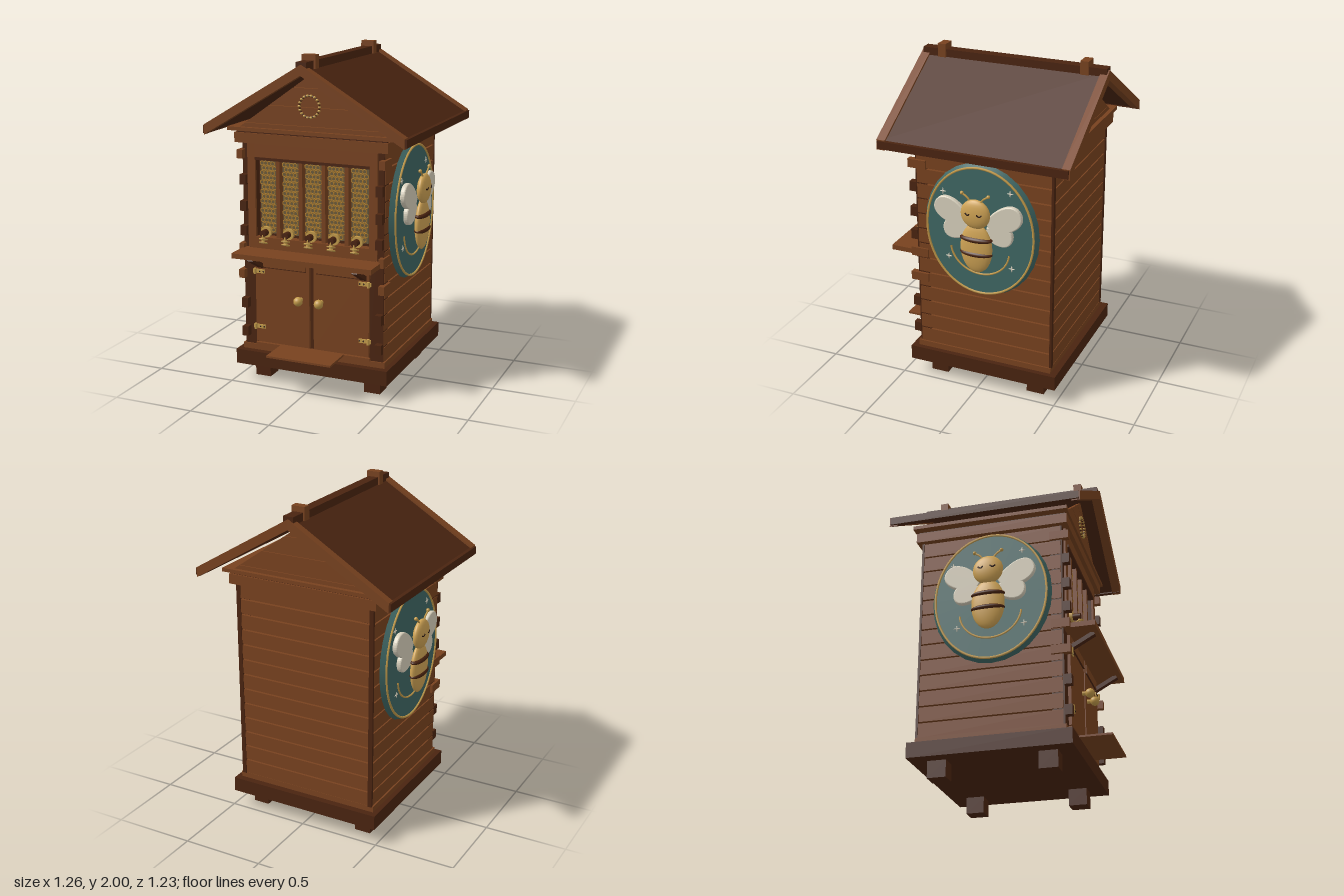
import * as THREE from 'three';
import { mergeGeometries } from 'three/addons/utils/BufferGeometryUtils.js';

const mat = (name, color) => Object.assign(new THREE.MeshStandardMaterial({ color }), { name });

export function createModel() {
  const root = new THREE.Group();
  root.name = 'beehiveCabinet';
  const wood = mat('wood', 0x78421f), dark = mat('darkWood', 0x4a2410), gold = mat('gold', 0xc29a4a);
  const comb = mat('honeycomb', 0xb07f30), cell = mat('cellShadow', 0x6a5a3c), bee = mat('beeYellow', 0xd0a455);
  const cream = mat('cream', 0xd8d0bc), teal = mat('teal', 0x3f6764), ink = mat('ink', 0x2a160c);

  const add = (parent, name, geo, m, x = 0, y = 0, z = 0) => {
    const mesh = new THREE.Mesh(geo, m);
    mesh.name = name;
    mesh.position.set(x, y, z);
    parent.add(mesh);
    return mesh;
  };
  // box given by its limits
  const box = (name, m, x0, x1, y0, y1, z0, z1, parent = root) => add(parent, name,
    new THREE.BoxGeometry(x1 - x0, y1 - y0, z1 - z0), m, (x0 + x1) / 2, (y0 + y1) / 2, (z0 + z1) / 2);
  // the same box on both sides of x = 0
  const pair = (name, m, x0, x1, ...r) => { box(name, m, x0, x1, ...r); box(name, m, -x1, -x0, ...r); };
  const prism = (name, m, pts, z0, z1) => add(root, name, new THREE.ExtrudeGeometry(
    new THREE.Shape(pts.map(p => new THREE.Vector2(...p))), { depth: z1 - z0, bevelEnabled: false }), m, 0, 0, z0);
  const tube = (parent, name, m, pts, r, seg = 16) => add(parent, name, new THREE.TubeGeometry(
    new THREE.CatmullRomCurve3(pts.map(p => new THREE.Vector3(...p))), seg, r, 6), m);
  const ball = (parent, name, m, x, y, z, rx, ry, rz) => {
    const b = add(parent, name, new THREE.SphereGeometry(1, 24, 16), m, x, y, z);
    b.scale.set(rx, ry, rz);
    return b;
  };

  // base and feet
  pair('foot', dark, 0.31, 0.41, 0, 0.1, 0.24, 0.35);
  pair('foot', dark, 0.31, 0.41, 0, 0.1, -0.4, -0.29);
  box('basePlatform', dark, -0.49, 0.49, 0.1, 0.19, -0.5, 0.45);
  box('baseSill', wood, -0.46, 0.46, 0.19, 0.225, -0.46, 0.41);

  // corner posts and horizontal planks
  pair('frontPost', dark, 0.36, 0.447, 0.22, 1.47, 0.33, 0.402);
  pair('backPost', dark, 0.37, 0.425, 0.22, 1.47, -0.44, -0.38);
  pair('backCornerTrim', dark, 0.425, 0.452, 0.22, 1.47, -0.462, -0.448);
  const pitch = 1.25 / 13;
  for (let i = 0; i < 13; i++) {
    const y = 0.225 + i * pitch;
    pair('sidePlank', wood, 0.425, 0.45, y, y + pitch - 0.009, -0.447, 0.392);
    box('backPlank', wood, -0.425, 0.425, y, y + pitch - 0.009, -0.458, -0.435);
  }
  for (const y of [0.645, 1.375]) pair('cornerBracket', wood, 0.43, 0.465, y, y + 0.052, 0.33, 0.443);
  for (const y of [0.28, 0.46, 0.91, 1.06, 1.22]) pair('cornerBlock', dark, 0.41, 0.45, y, y + 0.06, 0.4, 0.443);

  // upper front frame
  box('topPlate', wood, -0.48, 0.48, 1.47, 1.53, -0.49, 0.44);
  box('headBoard', wood, -0.37, 0.37, 1.385, 1.47, 0.36, 0.415);
  box('combBack', dark, -0.36, 0.36, 0.84, 1.4, 0.335, 0.36);
  box('combRail', wood, -0.4, 0.4, 0.835, 0.905, 0.36, 0.415);
  pair('upperStile', wood, 0.36, 0.41, 0.84, 1.47, 0.4, 0.415);
  box('frameTopTrim', dark, -0.36, 0.36, 1.37, 1.386, 0.36, 0.42);
  for (let i = 0; i < 4; i++) {
    const x = (i - 1.5) * 0.145;
    box('frameDivider', wood, x - 0.012, x + 0.012, 0.905, 1.37, 0.36, 0.405);
  }

  // honeycomb frames with taps
  const rings = [];
  for (let r = 0; r < 15; r++) for (let c = 0; c < 4; c++) {
    const x = (c - 1.5) * 0.027 + (r % 2 ? 0.0068 : -0.0068);
    const g = new THREE.TorusGeometry(0.0135, 0.0035, 4, 6);
    g.rotateZ(Math.PI / 6);
    g.translate(x * 0.85, 0.945 + r * 0.0286, 0.381);
    rings.push(g);
  }
  const combCells = mergeGeometries(rings);
  for (let i = 0; i < 5; i++) {
    const x = (i - 2) * 0.145;
    box('combPanel', cell, x - 0.053, x + 0.053, 0.925, 1.37, 0.36, 0.378);
    add(root, 'combCells', combCells, comb, x);
    const tap = new THREE.Group();
    tap.name = 'honeyTap';
    tap.position.set(x, 0.94, 0.41);
    root.add(tap);
    add(tap, 'tapCollar', new THREE.CylinderGeometry(0.034, 0.034, 0.02, 16), gold, 0, 0, 0.005).rotation.x = Math.PI / 2;
    add(tap, 'tapBarrel', new THREE.CylinderGeometry(0.02, 0.02, 0.06, 14), dark, 0, 0, 0.03).rotation.x = Math.PI / 2;
    add(tap, 'tapNozzle', new THREE.CylinderGeometry(0.009, 0.012, 0.05, 10), gold, 0, -0.03, 0.052);
    for (const y of [-0.035, -0.055])
      add(tap, 'tapRing', new THREE.TorusGeometry(0.022, 0.005, 6, 16), gold, 0, y, 0.05).rotation.x = Math.PI / 2.6;
  }

  // shelf and its diagonal supports
  box('shelf', wood, -0.44, 0.44, 0.805, 0.835, 0.4, 0.582);
  pair('shelfEnd', wood, 0.43, 0.46, 0.805, 0.86, 0.33, 0.44);
  for (const s of [-1, 1])
    add(root, 'shelfSupport', new THREE.BoxGeometry(0.035, 0.025, 0.17), dark, s * 0.33, 0.762, 0.48).rotation.x = -0.5;

  // doors, knobs and hinges
  box('doorFrame', dark, -0.37, 0.37, 0.225, 0.81, 0.36, 0.4);
  pair('door', wood, 0.014, 0.365, 0.25, 0.795, 0.4, 0.42);
  pair('doorRail', wood, 0.035, 0.31, 0.725, 0.775, 0.42, 0.428);
  pair('doorRailLine', dark, 0.035, 0.31, 0.72, 0.725, 0.42, 0.428);
  box('doorSill', wood, -0.37, 0.37, 0.225, 0.242, 0.4, 0.42);
  for (const s of [-1, 1]) {
    ball(root, 'doorKnob', gold, s * 0.066, 0.55, 0.465, 0.028, 0.028, 0.028);
    add(root, 'knobStem', new THREE.CylinderGeometry(0.01, 0.014, 0.04, 10), gold, s * 0.066, 0.55, 0.435).rotation.x = Math.PI / 2;
    for (const y of [0.348, 0.695]) {
      box('hingePlate', gold, s * 0.341 - 0.038, s * 0.341 + 0.038, y - 0.012, y + 0.012, 0.419, 0.427);
      add(root, 'hingePin', new THREE.CylinderGeometry(0.009, 0.009, 0.034, 10), gold, s * 0.365, y, 0.43);
      for (const d of [0.31, 0.335]) ball(root, 'hingeScrew', ink, s * d, y, 0.428, 0.005, 0.005, 0.004);
    }
  }
  box('landingBoard', wood, -0.205, 0.205, 0.232, 0.244, 0.4, 0.615);

  // gables of stacked boards
  box('eavePlate', wood, -0.52, 0.52, 1.54, 1.562, -0.5, 0.45);
  box('eavePlateCore', dark, -0.47, 0.47, 1.53, 1.54, -0.48, 0.43);
  const halfWidth = y => 0.45 * (1.882 - y) / 0.32;
  for (const [z0, z1] of [[0.4, 0.425], [-0.475, -0.45]])
    [1.562, 1.59, 1.7, 1.81, 1.886].slice(0, 4).forEach((y, i) => {
      const t = [1.587, 1.697, 1.807, 1.881][i], a = halfWidth(y), b = halfWidth(t);
      prism('gableBoard', wood, [[-a, y], [a, y], [b, t], [-b, t]], z0, z1);
    });
  add(root, 'gableRing', new THREE.TorusGeometry(0.062, 0.006, 6, 32), dark, 0, 1.705, 0.43);
  for (let i = 0; i < 18; i++) {
    const a = i / 18 * Math.PI * 2;
    ball(root, 'gableRingBead', gold, Math.cos(a) * 0.063, 1.705 + Math.sin(a) * 0.063, 0.432, 0.009, 0.007, 0.009);
  }

  // roof
  const chevron = (name, m, top, h, w, z0, z1) => {
    const e = top - 0.6 * w;
    prism(name, m, [[0, top], [-w, e], [-w, e - h], [0, top - h], [w, e - h], [w, e]], z0, z1);
  };
  chevron('roofPanel', dark, 1.94, 0.042, 0.61, -0.6, 0.54);
  chevron('frontBargeBoard', wood, 1.953, 0.06, 0.618, 0.5, 0.553);
  chevron('backBargeBoard', wood, 1.953, 0.06, 0.618, -0.613, -0.565);
  pair('eaveFascia', dark, 0.6, 0.628, 1.53, 1.577, -0.605, 0.545);
  box('ridgeBeam', dark, -0.032, 0.032, 1.91, 1.967, -0.605, 0.54);
  box('ridgeClip', wood, -0.042, 0.042, 1.92, 2, 0.39, 0.44);
  box('ridgeClip', wood, -0.042, 0.042, 1.92, 2, -0.5, -0.45);

  // oval bee medallions, one on each side wall
  for (const s of [-1, 1]) {
    const g = new THREE.Group();
    g.name = 'beeMedallion';
    g.position.set(s * 0.45, 1.05, -0.02);
    g.rotation.y = s * Math.PI / 2;
    root.add(g);
    const disc = add(g, 'medallionDisc', new THREE.CylinderGeometry(0.95, 1, 0.03, 28), teal, 0, 0, 0.015);
    disc.rotation.x = Math.PI / 2;
    disc.scale.set(0.36, 1, 0.415);
    const oval = (name, rx, ry, a0, a1, y, r) => {
      const pts = [];
      for (let i = 0; i <= 32; i++) {
        const a = a0 + (a1 - a0) * i / 32;
        pts.push([Math.cos(a) * rx, y + Math.sin(a) * ry, 0.032]);
      }
      tube(g, name, gold, pts, r, 64);
    };
    oval('medallionRim', 0.335, 0.395, 0, Math.PI * 2, 0, 0.007);
    oval('flightArc', 0.185, 0.17, Math.PI * 1.03, Math.PI * 1.97, -0.1, 0.006);
    for (const [x, y] of [[-0.23, 0.22], [0.19, 0.27], [-0.2, -0.19], [0.2, -0.2]])
      for (const q of [0, 1]) {
        const ray = ball(g, 'star', cream, x, y, 0.031, 0.02, 0.004, 0.004);
        ray.rotation.z = q * Math.PI / 2;
      }
    // bee
    ball(g, 'beeBody', bee, 0, -0.08, 0.08, 0.1, 0.155, 0.034);
    ball(g, 'beeHead', bee, 0, 0.137, 0.088, 0.091, 0.09, 0.034);
    for (const y of [-0.02, -0.11]) ball(g, 'beeStripe', dark, 0, y, 0.082, 0.102, 0.022, 0.04);
    for (const m of [-1, 1]) {
      // wings: a narrow root widening to a rounded tip
      const wing = (name, x, y, len, wid, angle) => {
        const sh = new THREE.Shape();
        sh.moveTo(0, -wid * 0.25);
        sh.bezierCurveTo(len * 0.5, -wid * 0.75, len, -wid * 0.6, len, 0);
        sh.bezierCurveTo(len, wid * 0.6, len * 0.5, wid * 0.65, 0, wid * 0.25);
        const geo = new THREE.ExtrudeGeometry(sh, { depth: 0.012, bevelSize: 0.008, bevelThickness: 0.01, bevelSegments: 4, curveSegments: 16 });
        const w = add(g, name, geo, cream, m * x, y, 0.045);
        w.rotation.z = m > 0 ? angle : Math.PI - angle;
      };
      wing('upperWing', 0.07, 0.06, 0.215, 0.125, 0.5);
      wing('lowerWing', 0.06, 0.02, 0.15, 0.105, -0.12);
      tube(g, 'antenna', gold, [[m * 0.03, 0.21, 0.088], [m * 0.05, 0.235, 0.09], [m * 0.08, 0.255, 0.09]], 0.006);
      ball(g, 'antennaTip', gold, m * 0.082, 0.257, 0.09, 0.011, 0.011, 0.011);
      tube(g, 'sleepyEye', ink, [[m * 0.02, 0.148, 0.121], [m * 0.036, 0.138, 0.119], [m * 0.052, 0.148, 0.116]], 0.0045);
    }
  }
  return root;
}
